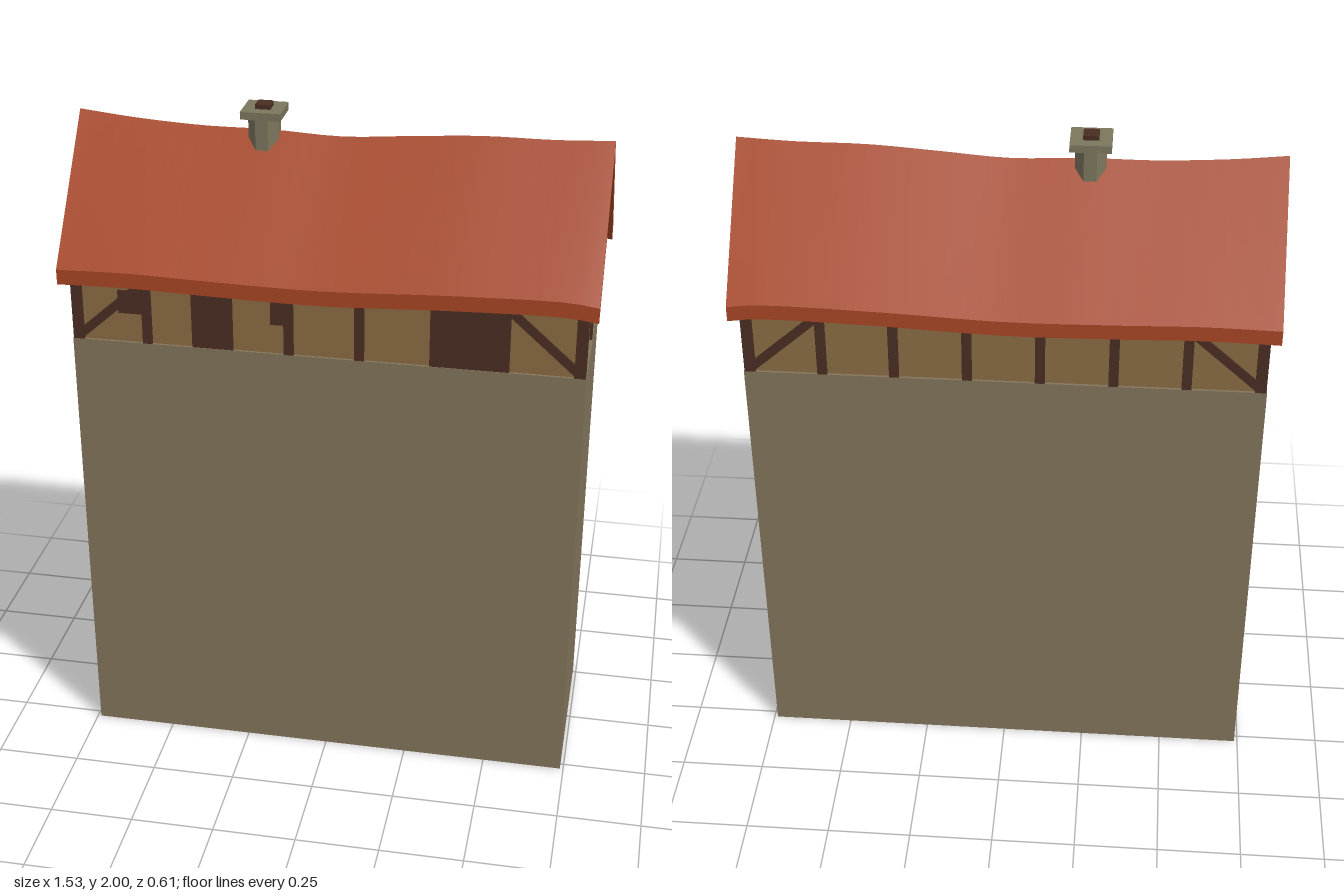
import * as THREE from 'three';
import { toCreasedNormals } from 'three/addons/utils/BufferGeometryUtils.js';

const mat = (name, color) => {
  const m = new THREE.MeshStandardMaterial({ color });
  m.name = name;
  return m;
};

export function createModel() {
  const model = new THREE.Group();
  model.name = 'timberFramedHouse';
  const stone = mat('stone', 0x82745a);
  const tile = mat('roofTile', 0xa84725);
  const timber = mat('darkTimber', 0x4a2d23);
  const plaster = mat('plaster', 0x8a6c43);
  const chimneyStone = mat('chimneyStone', 0x7c765d);

  const add = (parent, name, geometry, material, x = 0, y = 0, z = 0) => {
    const mesh = new THREE.Mesh(geometry, material);
    mesh.name = name;
    mesh.position.set(x, y, z);
    parent.add(mesh);
    return mesh;
  };

  // Cross-section in z,y swept along x
  const sweep = (points, length, steps) => {
    const shape = new THREE.Shape(points.map(([z, y]) => new THREE.Vector2(z, y)));
    const g = new THREE.ExtrudeGeometry(shape, { depth: length, steps, bevelEnabled: false });
    g.translate(0, 0, -length / 2);
    g.rotateY(Math.PI / 2);
    return g;
  };

  // Tall stone foundation
  add(model, 'stoneBase', new THREE.BoxGeometry(1.48, 1.35, 0.546), stone, 0, 0.675, 0);

  // Plastered walls with both gables
  add(model, 'plasterWalls', sweep(
    [[-0.265, 1.34], [0.265, 1.34], [0.265, 1.56], [0, 1.89], [-0.265, 1.56]], 1.46, 1), plaster);

  // Sagging roof: straight chevron whose ridge and eaves are shifted along x
  const curveAt = (pairs) => {
    const pts = new THREE.SplineCurve(pairs.map(([x, y]) => new THREE.Vector2(x, y))).getPoints(120);
    return (x) => {
      for (let i = 1; i < pts.length; i++) {
        if (x <= pts[i].x) {
          const k = (x - pts[i - 1].x) / (pts[i].x - pts[i - 1].x);
          return THREE.MathUtils.lerp(pts[i - 1].y, pts[i].y, k);
        }
      }
      return pts[pts.length - 1].y;
    };
  };
  const ridge = curveAt([[-0.765, 1.95], [-0.6, 1.933], [-0.4, 1.922], [-0.2, 1.922],
    [0, 1.914], [0.2, 1.928], [0.4, 1.941], [0.6, 1.942], [0.765, 1.95]]);
  const eave = curveAt([[-0.765, 1.53], [-0.55, 1.534], [-0.3, 1.528], [0, 1.525],
    [0.35, 1.54], [0.65, 1.547], [0.765, 1.536]]);
  const roof = sweep([[-0.305, 1.53], [0, 1.905], [0.305, 1.53],
    [0.305, 1.575], [0, 1.95], [-0.305, 1.575]], 1.53, 28);
  const p = roof.attributes.position;
  for (let i = 0; i < p.count; i++) {
    const x = p.getX(i);
    const t = 1 - Math.abs(p.getZ(i)) / 0.305;
    p.setY(i, p.getY(i) + THREE.MathUtils.lerp(eave(x) - 1.53, ridge(x) - 1.95, t));
  }
  add(model, 'roof', toCreasedNormals(roof, 0.5), tile);

  // Timber beam between two points in a wall's own plane
  const beam = (wall, name, x1, y1, x2, y2, width = 0.028, depth = 0.02) => {
    const length = Math.hypot(x2 - x1, y2 - y1);
    const mesh = add(wall, name, new THREE.BoxGeometry(length, width, depth), timber,
      (x1 + x2) / 2, (y1 + y2) / 2, 0);
    mesh.rotation.z = Math.atan2(y2 - y1, x2 - x1);
  };
  const wallGroup = (name, x, z, turn) => {
    const g = new THREE.Group();
    g.name = name;
    g.position.set(x, 0, z);
    g.rotation.y = turn;
    model.add(g);
    return g;
  };

  // Long walls: posts, plates and corner braces
  const longWall = (name, z, turn, posts) => {
    const wall = wallGroup(name, 0, z, turn);
    for (const x of posts) beam(wall, 'post', x, 1.35, x, 1.57);
    beam(wall, 'wallPlate', -0.72, 1.562, 0.72, 1.562, 0.022);
    for (const s of [-1, 1]) {
      beam(wall, 'cornerPost', s * 0.722, 1.35, s * 0.722, 1.57, 0.032);
      beam(wall, 'cornerBrace', s * 0.715, 1.365, s * 0.53, 1.53, 0.026, 0.016);
    }
    return wall;
  };
  const front = longWall('frontFrame', 0.263, 0, [-0.517, -0.103, 0.1]);
  longWall('backFrame', -0.263, Math.PI, [-0.515, -0.31, -0.103, 0.103, 0.31, 0.515]);

  // Doors and shutters on the front
  const panel = (name, x1, x2, y1, y2) => add(front, name,
    new THREE.BoxGeometry(x2 - x1, y2 - y1, 0.008), timber, (x1 + x2) / 2, (y1 + y2) / 2, 0.004);
  panel('smallDoor', -0.385, -0.265, 1.35, 1.56);
  panel('wideDoor', 0.3, 0.525, 1.35, 1.56);
  panel('windowLeft', -0.6, -0.53, 1.44, 1.51);
  panel('windowMiddle', -0.155, -0.115, 1.44, 1.51);

  // Gable walls
  for (const s of [-1, 1]) {
    const wall = wallGroup(s > 0 ? 'leftGableFrame' : 'rightGableFrame', s * 0.728, 0, s * Math.PI / 2);
    beam(wall, 'centrePost', 0, 1.35, 0, 1.88, 0.026);
    beam(wall, 'tieBeam', -0.26, 1.563, 0.26, 1.563, 0.022);
    beam(wall, 'collarBeam', -0.125, 1.735, 0.125, 1.735, 0.022);
    for (const side of [-1, 1]) {
      beam(wall, 'cornerPost', side * 0.256, 1.35, side * 0.256, 1.565, 0.033);
      beam(wall, 'queenPost', side * 0.105, 1.57, side * 0.105, 1.735, 0.024);
      beam(wall, 'rafter', side * 0.26, 1.563, 0, 1.883, 0.028);
    }
  }

  // Chimney with cap and flue
  const chimney = new THREE.Group();
  chimney.name = 'chimney';
  chimney.position.x = -0.222;
  model.add(chimney);
  const shaft = new THREE.CylinderGeometry(0.047, 0.047, 0.15, 8);
  shaft.rotateY(Math.PI / 8);
  const shaftMesh = add(chimney, 'chimneyShaft', toCreasedNormals(shaft, 0.5), chimneyStone, 0, 1.895, 0);
  shaftMesh.name = 'chimneyShaft';
  add(chimney, 'chimneyCap', new THREE.BoxGeometry(0.116, 0.022, 0.112), chimneyStone, 0, 1.976, 0);
  add(chimney, 'chimneyFlue', new THREE.BoxGeometry(0.044, 0.02, 0.046), timber, 0, 1.99, 0);

  return model;
}
